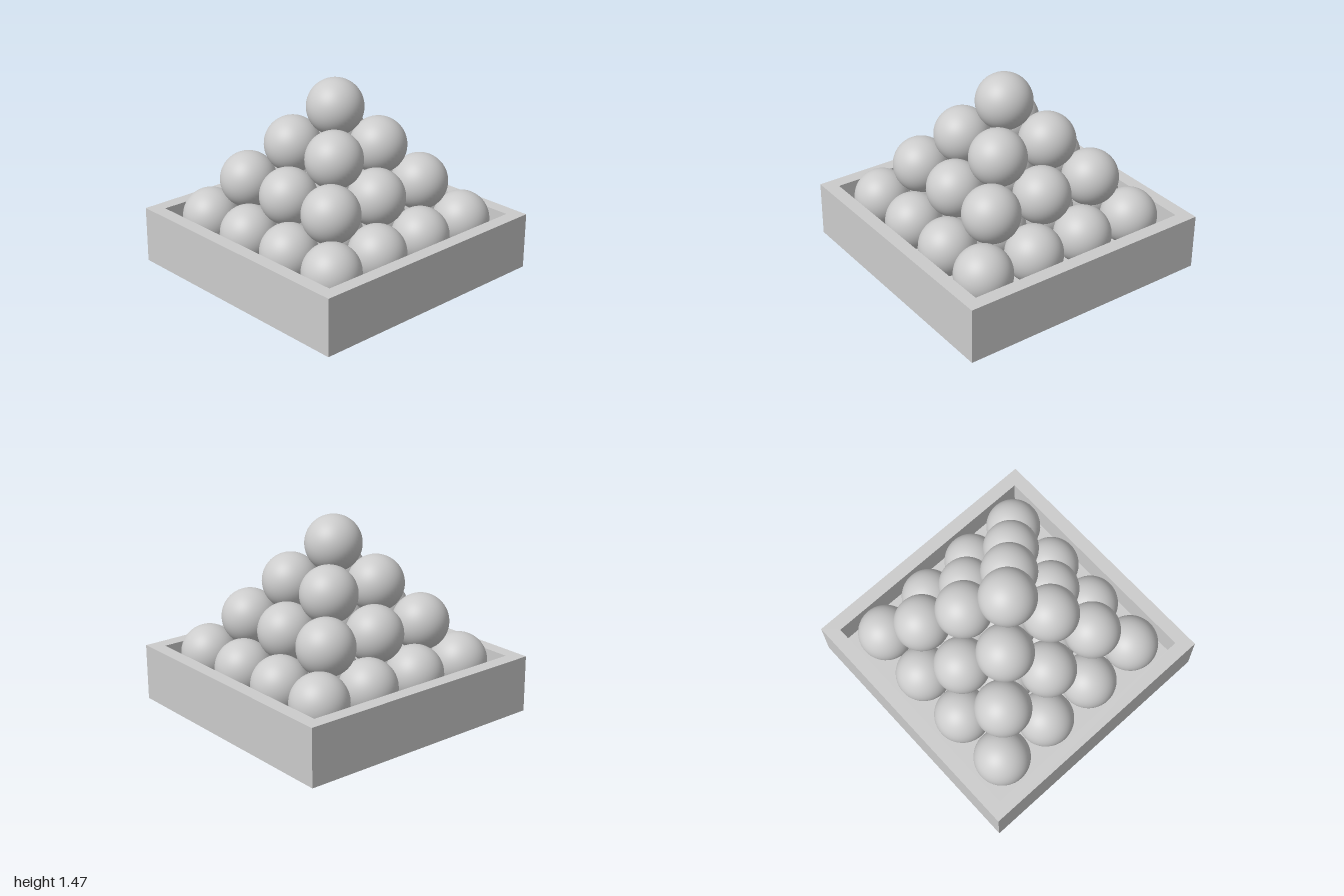
import * as THREE from 'three';

const material = new THREE.MeshStandardMaterial({ color: 0xcccccc });
const RADIUS = 0.21;

// Square outline, wound either way, for the tray wall and its opening
function square(path, half) {
  path.moveTo(-half, -half);
  path.lineTo(half, -half);
  path.lineTo(half, half);
  path.lineTo(-half, half);
  path.closePath();
  return path;
}

// Open square tray: a rim of four walls around a raised floor
function createTray() {
  const tray = new THREE.Group();
  tray.name = 'tray';
  const height = 0.425, half = 0.993, inner = 0.89, floorTop = 0.17;

  const outline = square(new THREE.Shape(), half);
  outline.holes.push(square(new THREE.Path(), inner));
  const wallGeometry = new THREE.ExtrudeGeometry(outline, { depth: height, bevelEnabled: false });
  wallGeometry.rotateX(-Math.PI / 2);
  const walls = new THREE.Mesh(wallGeometry, material);
  walls.name = 'trayWalls';

  const floor = new THREE.Mesh(new THREE.BoxGeometry(inner * 2, floorTop, inner * 2), material);
  floor.name = 'trayFloor';
  floor.position.y = floorTop / 2;

  tray.add(walls, floor);
  // The tray sits very slightly tilted
  tray.position.set(-0.002, 0.0165, 0);
  tray.rotation.set(-0.01, 0, 0.004);
  return tray;
}

// Square pyramid of balls; each layer is nudged a little off the exact grid
function createBalls() {
  const pile = new THREE.Group();
  pile.name = 'ballPyramid';
  const geometry = new THREE.SphereGeometry(RADIUS, 48, 32);
  const layers = [
    { count: 4, y: 0.402, spacing: 0.434, x: 0.002, z: -0.004 },
    { count: 3, y: 0.693, spacing: 0.441, x: -0.012, z: 0.002 },
    { count: 2, y: 0.974, spacing: 0.437, x: -0.003, z: -0.006 },
    { count: 1, y: 1.262, spacing: 0, x: -0.002, z: -0.002 },
  ];
  for (const { count, y, spacing, x, z } of layers) {
    const middle = (count - 1) / 2;
    for (let row = 0; row < count; row++) {
      for (let col = 0; col < count; col++) {
        const ball = new THREE.Mesh(geometry, material);
        ball.name = 'ball';
        ball.position.set(x + (col - middle) * spacing, y, z + (row - middle) * spacing);
        pile.add(ball);
      }
    }
  }
  return pile;
}

export function createModel() {
  const model = new THREE.Group();
  model.name = 'ballPyramidInTray';
  model.add(createTray(), createBalls());
  return model;
}
